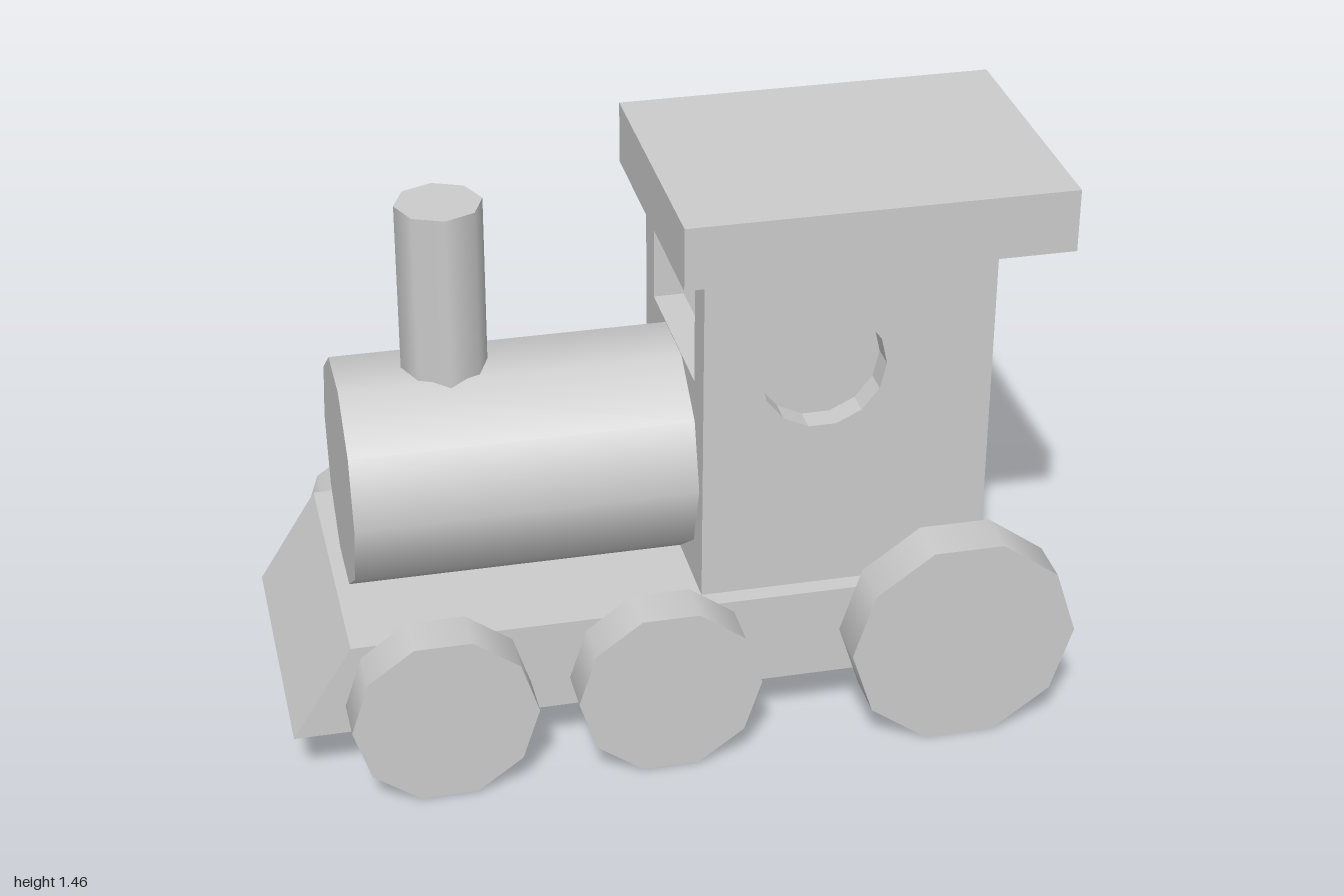
import * as THREE from 'three';

const material = new THREE.MeshStandardMaterial({ color: 0xcccccc });

export function createModel() {
  const model = new THREE.Group();

  const add = (name, geometry, x = 0, y = 0, z = 0) => {
    const mesh = new THREE.Mesh(geometry, material);
    mesh.name = name;
    mesh.position.set(x, y, z);
    model.add(mesh);
    return mesh;
  };

  const polygon = (points) => new THREE.Shape(points.map(([x, y]) => new THREE.Vector2(x, y)));
  const extrude = (shape, depth) => new THREE.ExtrudeGeometry(shape, { depth, bevelEnabled: false });

  // Box given by its two extreme corners
  const addBox = (name, [x0, y0, z0], [x1, y1, z1]) =>
    add(name, new THREE.BoxGeometry(x1 - x0, y1 - y0, z1 - z0), (x0 + x1) / 2, (y0 + y1) / 2, (z0 + z1) / 2);

  // Chassis with a sloping nose
  add('chassis', extrude(polygon([[-1, 0.15], [0.85, 0.15], [0.85, 0.4], [-0.845, 0.4]]), 0.76), 0, 0, -0.39);

  // Boiler lying along x, and the chimney standing on it
  add('boiler', new THREE.CylinderGeometry(0.297, 0.297, 0.87, 10).rotateZ(Math.PI / 2), -0.375, 0.685, -0.01);
  add('chimney', new THREE.CylinderGeometry(0.11, 0.11, 0.515, 8), -0.53, 1.157, -0.01);

  // Cab side walls with a round window
  const side = polygon([[0.06, 0.4], [0.8, 0.4], [0.8, 1.3], [0.06, 1.3]]);
  const porthole = [];
  for (let i = 0; i < 14; i++) {
    const a = (-i / 14) * Math.PI * 2;
    porthole.push(new THREE.Vector2(0.365 + 0.161 * Math.cos(a), 1.02 + 0.161 * Math.sin(a)));
  }
  side.holes.push(new THREE.Path(porthole));
  const wall = extrude(side, 0.066);
  add('leftCabWall', wall, 0, 0, 0.255);
  add('rightCabWall', wall, 0, 0, -0.333);

  // Cab front wall with a rectangular window, turned to face along x
  const front = polygon([[-0.255, 0.4], [0.267, 0.4], [0.267, 1.3], [-0.255, 1.3]]);
  front.holes.push(polygon([[-0.222, 0.97], [-0.222, 1.23], [0.24, 1.23], [0.24, 0.97]]));
  add('cabFrontWall', extrude(front, 0.08).rotateY(Math.PI / 2), 0.06, 0, 0);

  // Flat roof overhanging the cab
  addBox('roof', [0, 1.3, -0.382], [0.985, 1.465, 0.363]);

  // Three ten-sided wheels on each side: x, y, radius, thickness, left z, right z
  const wheels = [
    ['frontWheel', -0.63, 0.234, 0.236, 0.123, 0.436, -0.457],
    ['middleWheel', -0.058, 0.234, 0.236, 0.123, 0.436, -0.457],
    ['rearWheel', 0.705, 0.285, 0.295, 0.13, 0.448, -0.448],
  ];
  for (const [name, x, y, radius, width, leftZ, rightZ] of wheels) {
    const wheel = new THREE.CylinderGeometry(radius, radius, width, 10, 1, false, Math.PI / 2).rotateX(Math.PI / 2);
    add(name + 'Left', wheel, x, y, leftZ);
    add(name + 'Right', wheel, x, y, rightZ);
  }

  return model;
}
